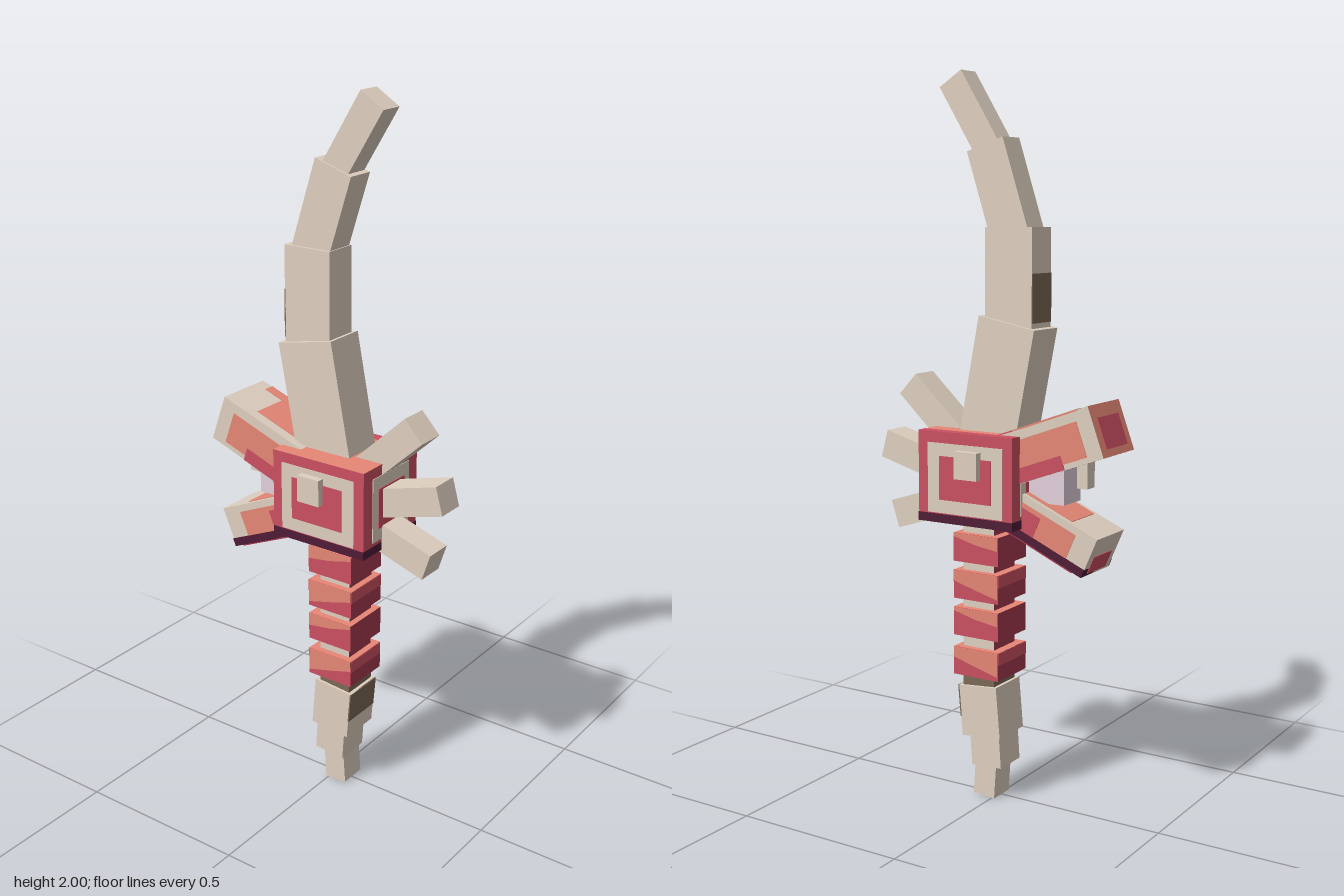
import * as THREE from 'three';

const mat = (name, color) => {
  const m = new THREE.MeshStandardMaterial({ color });
  m.name = name;
  return m;
};

export function createModel() {
  const bone = mat('bone', 0xdfd0c0);
  const salmon = mat('salmon', 0xe68775);
  const red = mat('red', 0xcb5061);
  const darkRed = mat('dark red', 0xa6394f);
  const plum = mat('plum', 0x4f1c36);
  const brown = mat('brown', 0x7c6955);
  const lavender = mat('lavender', 0xe2d0dc);

  const root = new THREE.Group();
  root.name = 'boneSword';

  // Box given by its limits in x and y, centred on z; material may be a list of six faces
  const box = (parent, name, x0, x1, y0, y1, depth, material, z = 0) => {
    const m = new THREE.Mesh(new THREE.BoxGeometry(x1 - x0, y1 - y0, depth), material);
    m.position.set((x0 + x1) / 2, (y0 + y1) / 2, z);
    m.name = name;
    parent.add(m);
    return m;
  };
  // Group placed at a point and tilted in the front plane
  const joint = (name, x, y, degrees) => {
    const g = new THREE.Group();
    g.name = name;
    g.position.set(x, y, 0);
    g.rotation.z = THREE.MathUtils.degToRad(degrees);
    root.add(g);
    return g;
  };

  // Curved blade: top centre, tilt, width, length, depth
  [
    [-0.06, 1.34, 11, 0.175, 0.33, 0.122],
    [-0.059, 1.59, 0, 0.145, 0.29, 0.098],
    [0.019, 1.805, -18, 0.117, 0.26, 0.083],
    [0.131, 1.978, -32, 0.08, 0.235, 0.07],
  ].forEach(([x, y, a, w, l, d], i) => {
    const g = joint('bladeSegment' + (i + 1), x, y, a);
    box(g, 'blade', -w / 2, w / 2, -l, 0, d, bone);
    // dark patch low on the outer side of the second segment
    if (i === 1) box(g, 'bladePatch', -w / 2 - 0.002, -w / 2 + 0.002, -0.25, -0.12, d, brown);
  });

  // Guard block with framed faces
  const guard = new THREE.Group();
  guard.name = 'guard';
  root.add(guard);
  box(guard, 'guardBlock', -0.119, 0.179, 0.797, 1.045, 0.252, [red, red, salmon, plum, red, red]);
  box(guard, 'guardBottomBand', -0.12, 0.18, 0.796, 0.82, 0.255, plum);
  box(guard, 'guardTopBackEdge', -0.119, 0.179, 1.043, 1.046, 0.03, red, -0.111);
  box(guard, 'frontBackFrame', -0.09, 0.148, 0.823, 1.015, 0.256, bone);
  box(guard, 'frontBackPanel', -0.055, 0.11, 0.86, 0.98, 0.26, red);
  box(guard, 'sideFrame', -0.121, 0.181, 0.83, 1.015, 0.17, bone);
  box(guard, 'sidePanel', -0.123, 0.183, 0.865, 0.98, 0.12, red);
  box(guard, 'stud', -0.022, 0.049, 0.925, 1.0, 0.298, bone);

  // Three bone spikes on the left: tip centre, direction, length
  [
    [0.274, 1.157, 43, 0.26],
    [0.357, 0.982, 15.5, 0.24],
    [0.322, 0.782, -18, 0.22],
  ].forEach(([x, y, a, l], i) =>
    box(joint('spike' + (i + 1), x, y, a), 'spike', -l, 0, -0.04, 0.04, 0.083, bone));

  // Upper jaw on the right, its end at the joint's origin
  const upper = joint('upperJaw', -0.344, 1.075, -20);
  box(upper, 'upperJawBody', 0, 0.3, -0.07, 0.07, 0.17, [bone, salmon, bone, darkRed, bone, bone]);
  box(upper, 'upperJawSides', 0.045, 0.298, -0.055, 0.042, 0.173, salmon);
  box(upper, 'upperJawLowerEdge', 0.12, 0.298, -0.069, -0.03, 0.176, red);
  box(upper, 'upperJawTop', 0.097, 0.24, 0.067, 0.071, 0.14, salmon, -0.015);
  box(upper, 'upperJawTopBackStrip', 0.035, 0.24, 0.067, 0.072, 0.03, salmon, -0.07);
  box(upper, 'upperJawTopBackRoot', 0.24, 0.298, 0.067, 0.072, 0.03, red, -0.07);
  box(upper, 'upperJawEnd', -0.002, 0.002, -0.05, 0.035, 0.115, red);

  // Lower jaw
  const lower = joint('lowerJaw', -0.323, 0.739, 23.5);
  box(lower, 'lowerJawBody', 0, 0.28, -0.058, 0.058, 0.15, [bone, bone, bone, darkRed, bone, bone]);
  box(lower, 'lowerJawSides', 0.06, 0.278, -0.055, 0.038, 0.153, salmon);
  box(lower, 'lowerJawInnerSides', 0.17, 0.278, -0.055, 0.025, 0.156, red);
  box(lower, 'lowerJawBottomEdge', 0.0, 0.278, -0.057, -0.034, 0.158, plum);
  box(lower, 'lowerJawUnderside', 0.03, 0.278, -0.06, -0.056, 0.158, darkRed);
  box(lower, 'lowerJawTop', 0.09, 0.278, 0.056, 0.06, 0.12, salmon);
  box(lower, 'lowerJawEnd', -0.002, 0.002, -0.05, 0.0, 0.1, red);

  // Core and tooth between the jaws
  box(root, 'jawCore', -0.23, -0.1, 0.865, 0.99, 0.09, lavender);
  box(root, 'tooth', -0.286, -0.255, 0.91, 1.02, 0.04, bone);

  // Grip with four wraps
  box(root, 'gripCore', -0.017, 0.083, 0.35, 0.8, 0.106, [darkRed, darkRed, bone, brown, bone, bone]);
  box(root, 'gripBase', -0.018, 0.084, 0.31, 0.36, 0.108, brown);
  [0.68, 0.575, 0.47, 0.357].forEach((y, i) => {
    const odd = i % 2;
    box(root, 'wrap' + (i + 1), -0.042, 0.102, y, y + 0.08, 0.146,
      [darkRed, darkRed, salmon, darkRed, red, red]);
    // slanted light patch showing on front and back, broader on every second wrap
    const [left, middle, right] = odd ? [0.012, 0.03, 0.05] : [0.042, 0.052, 0.07];
    const s = new THREE.Shape([
      new THREE.Vector2(-0.041, y + left), new THREE.Vector2(0.03, y + middle),
      new THREE.Vector2(0.101, y + right), new THREE.Vector2(0.101, y + 0.079),
      new THREE.Vector2(-0.041, y + 0.079),
    ]);
    const patch = new THREE.Mesh(
      new THREE.ExtrudeGeometry(s, { depth: 0.149, bevelEnabled: false }), salmon);
    patch.position.z = -0.0745;
    patch.name = 'wrapPatch' + (i + 1);
    root.add(patch);
    // lighter upper part of the sides
    if (odd) box(root, 'wrapSide' + (i + 1), -0.0435, 0.1035, y + 0.045, y + 0.079, 0.144, red);
  });

  // Tapering pommel: top centre, tilt, width, length, depth
  [
    [0.033, 0.328, -5, 0.123, 0.145, 0.124],
    [0.017, 0.192, -4, 0.095, 0.097, 0.1],
    [0.019, 0.105, 4, 0.068, 0.102, 0.078],
  ].forEach(([x, y, a, w, l, d], i) => {
    const g = joint('pommelSegment' + (i + 1), x, y, a);
    box(g, 'pommel', -w / 2, w / 2, -l, 0, d, bone);
    if (i === 0) box(g, 'pommelPatch', w / 2 - 0.002, w / 2 + 0.002, -0.09, 0, d, brown);
  });

  return root;
}
